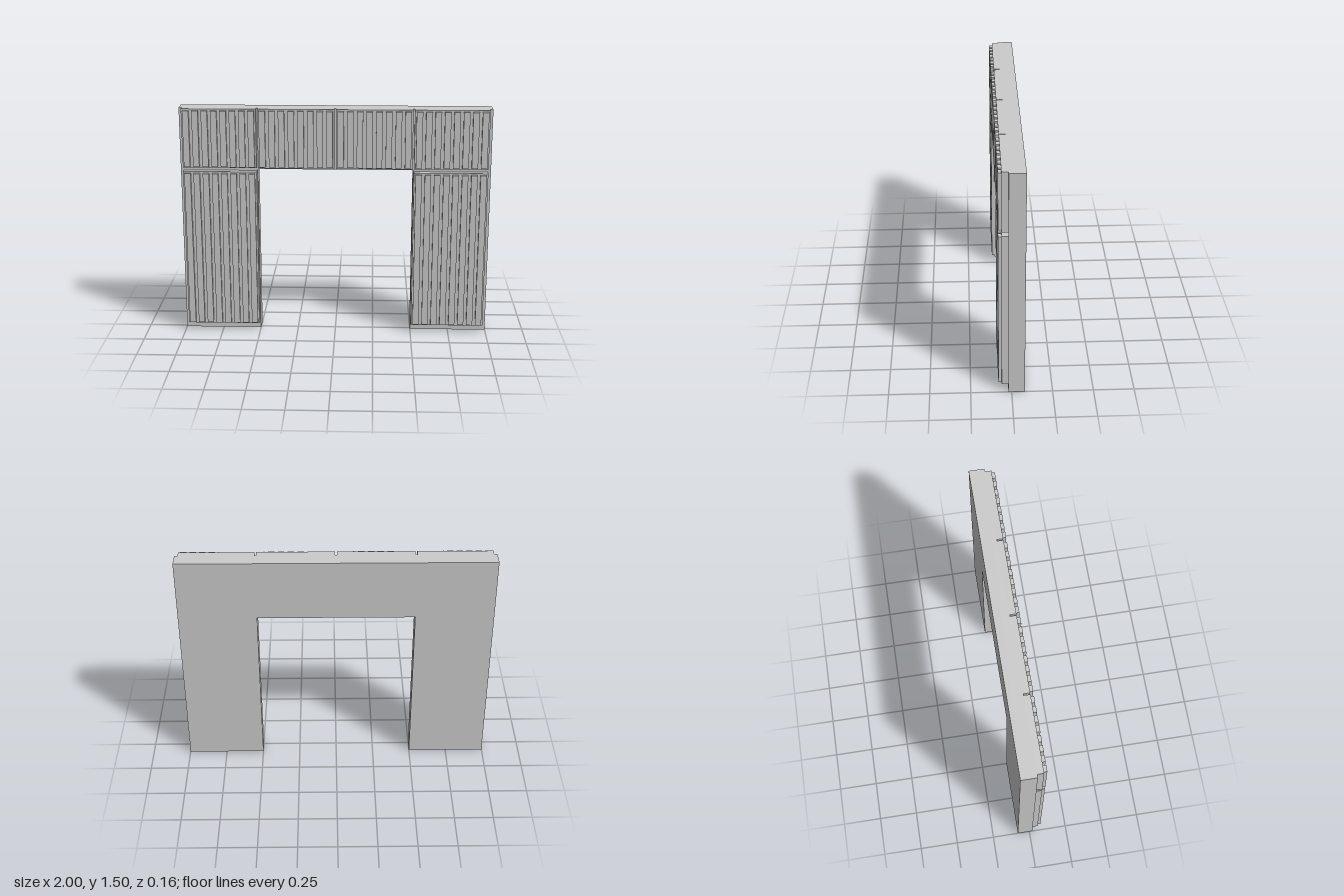
import * as THREE from 'three';

const material = new THREE.MeshStandardMaterial({ color: 0xcccccc, flatShading: true });

// Box given by its lower and upper corners
function box(name, x0, x1, y0, y1, z0, z1) {
  const mesh = new THREE.Mesh(new THREE.BoxGeometry(x1 - x0, y1 - y0, z1 - z0), material);
  mesh.position.set((x0 + x1) / 2, (y0 + y1) / 2, (z0 + z1) / 2);
  mesh.name = name;
  return mesh;
}

// Backing panel with eight evenly spaced vertical ribs
function ribbedPanel(name, x0, x1, y0, y1) {
  const panel = new THREE.Group();
  panel.name = name;
  panel.add(box('panelBacking', x0, x1, y0, y1, 0.02, 0.06));
  const count = 8, width = 0.04, margin = 0.01;
  const pitch = (x1 - x0 - 2 * margin - width) / (count - 1);
  for (let i = 0; i < count; i++) {
    const x = x0 + margin + i * pitch;
    panel.add(box('rib', x, x + width, y0 + margin, y1 - margin, 0.06, 0.08));
  }
  return panel;
}

export function createModel() {
  const model = new THREE.Group();
  model.name = 'ribbedGateway';

  // Wall with a doorway open at the bottom
  const outline = new THREE.Shape([
    [-1, 0], [-0.5, 0], [-0.5, 1.1], [0.5, 1.1], [0.5, 0], [1, 0], [1, 1.5], [-1, 1.5],
  ].map(([x, y]) => new THREE.Vector2(x, y)));
  const wall = new THREE.Mesh(
    new THREE.ExtrudeGeometry(outline, { depth: 0.1, bevelEnabled: false }), material);
  wall.position.z = -0.08;
  wall.name = 'wall';
  model.add(wall);

  // Panels on the front, mirrored left and right
  for (const [side, s] of [['left', 1], ['right', -1]]) {
    const add = (name, a, b, y0, y1) => model.add(
      ribbedPanel(side + name, Math.min(s * a, s * b), Math.max(s * a, s * b), y0, y1));
    add('PillarPanel', 0.505, 0.98, 0.045, 1.09);
    add('OuterLintelPanel', 0.505, 0.98, 1.115, 1.5);
    add('InnerLintelPanel', 0.005, 0.495, 1.115, 1.5);
  }
  return model;
}
